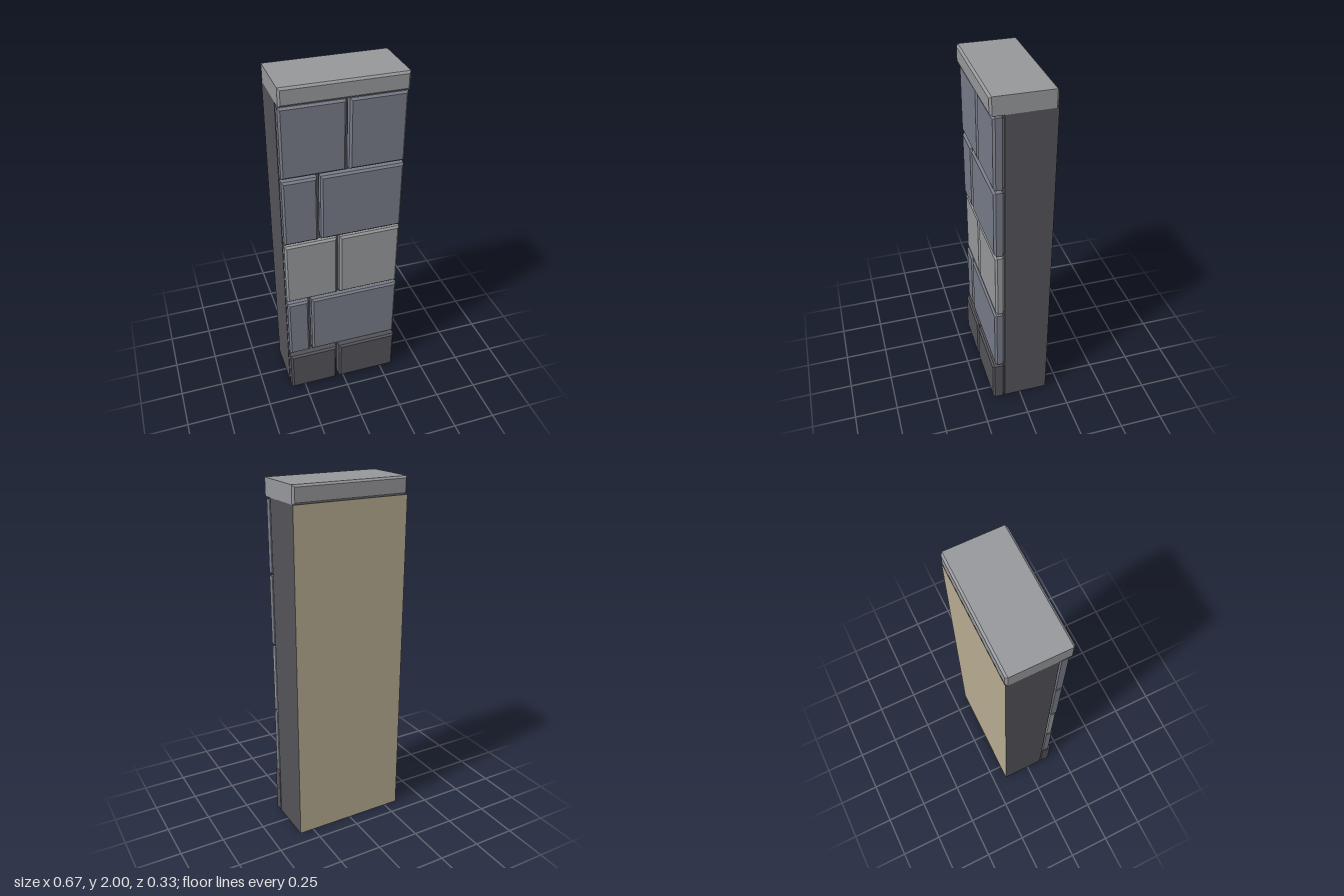
import * as THREE from 'three';

const mat = (name, color) => {
  const m = new THREE.MeshStandardMaterial({ color });
  m.name = name;
  return m;
};

// Rectangular block with chamfered front and back rims
function block(name, x0, x1, y0, y1, z0, z1, material, bevel = 0.011) {
  const b = bevel;
  const shape = new THREE.Shape([
    new THREE.Vector2(x0 + b, y0 + b),
    new THREE.Vector2(x1 - b, y0 + b),
    new THREE.Vector2(x1 - b, y1 - b),
    new THREE.Vector2(x0 + b, y1 - b),
  ]);
  const geo = new THREE.ExtrudeGeometry(shape, {
    depth: z1 - z0 - 2 * b, bevelEnabled: true, bevelSegments: 1,
    bevelSize: b, bevelThickness: b,
  });
  geo.translate(0, 0, z0 + b);
  const mesh = new THREE.Mesh(geo, material);
  mesh.name = name;
  return mesh;
}

export function createModel() {
  const model = new THREE.Group();
  model.name = 'wallPillar';

  const darkStone = mat('darkStone', 0x525258);
  const slate = mat('slateStone', 0x767a86);
  const paleStone = mat('paleStone', 0x96979a);
  const plaster = mat('plaster', 0xb7ab91);

  const W = 0.333, BACK = -0.167, FACE = 0.095, GAP = 0.018;

  // Core wall, plastered on its back face
  const top = 1.905;
  const coreGeo = new THREE.BoxGeometry(2 * W, top, FACE - BACK);
  const core = new THREE.Mesh(coreGeo,
    [darkStone, darkStone, darkStone, darkStone, darkStone, plaster]);
  core.name = 'wallCore';
  core.position.set(0, top / 2, (FACE + BACK) / 2);
  model.add(core);

  // Courses of two stones: bottom, top, joint position, front depth, colour
  const courses = [
    [0, 0.262, -0.035, 0.167, darkStone],
    [0.28, 0.67, -0.2, 0.152, slate],
    [0.686, 1.077, -0.027, 0.146, paleStone],
    [1.094, 1.485, -0.135, 0.152, slate],
    [1.502, 1.893, 0.02, 0.152, slate],
  ];
  courses.forEach(([y0, y1, joint, z, material], i) => {
    const course = new THREE.Group();
    course.name = `stoneCourse${i + 1}`;
    course.add(
      block('rightStone', -W, joint - GAP / 2, y0, y1, FACE, z, material),
      block('leftStone', joint + GAP / 2, W, y0, y1, FACE, z, material),
    );
    model.add(course);
  });

  // Coping stone
  model.add(block('copingStone', -W, W, 1.903, 2, BACK, 0.167, paleStone));
  return model;
}
